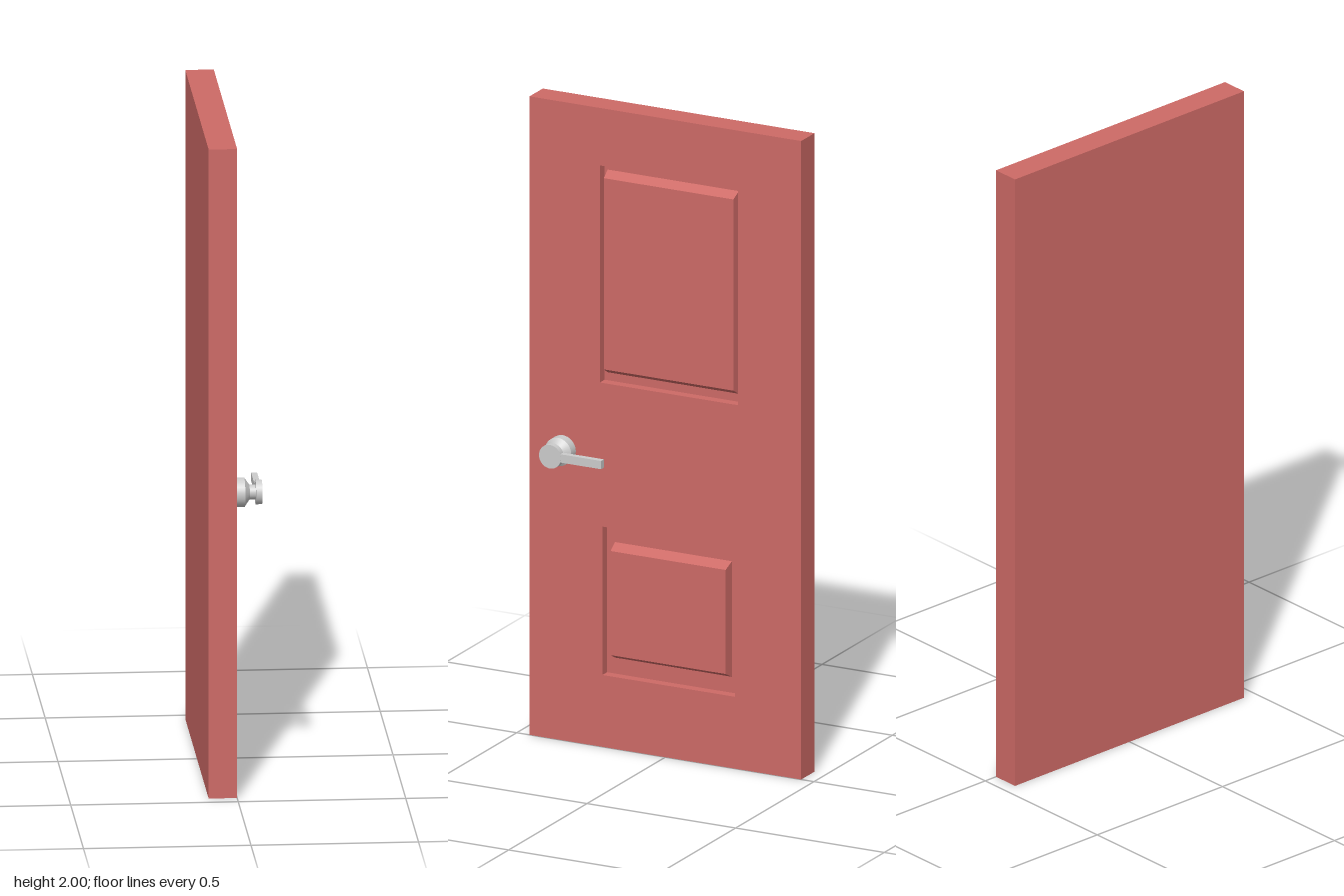
import * as THREE from 'three';

const FRONT = 0, BACK = -0.085, RECESS = 0.03;
const HALF_WIDTH = 0.457, HEIGHT = 2;

// Local u runs towards -z, v is up, and depth runs towards +x.
const panels = [
  { name: 'upperPanel', hole: [-0.22, 0.245, 1.14, 1.82], raised: [-0.21, 0.232, 1.165, 1.8], top: 0 },
  { name: 'lowerPanel', hole: [-0.212, 0.235, 0.225, 0.69], raised: [-0.185, 0.208, 0.275, 0.637], top: 0.004 },
];

function trace(path, [u0, u1, v0, v1]) {
  path.moveTo(u0, v0);
  path.lineTo(u1, v0);
  path.lineTo(u1, v1);
  path.lineTo(u0, v1);
  path.closePath();
  return path;
}

// Raised field whose edges slope in towards its face
function bevelledPanel([u0, u1, v0, v1], depth, insetU, insetV) {
  const geo = new THREE.BoxGeometry(u1 - u0, v1 - v0, depth);
  const pos = geo.attributes.position;
  for (let i = 0; i < pos.count; i++) {
    if (pos.getZ(i) > 0) {
      pos.setX(i, pos.getX(i) - Math.sign(pos.getX(i)) * insetU);
      pos.setY(i, pos.getY(i) - Math.sign(pos.getY(i)) * insetV);
    }
  }
  geo.computeVertexNormals();
  geo.translate((u0 + u1) / 2, (v0 + v1) / 2, depth / 2);
  return geo;
}

export function createModel() {
  const model = new THREE.Group();
  model.name = 'door';
  const paint = new THREE.MeshStandardMaterial({ color: 0xcd6a66 });
  const metal = new THREE.MeshStandardMaterial({ color: 0xcccccc });

  const add = (parent, name, geo, material) => {
    const mesh = new THREE.Mesh(geo, material);
    mesh.name = name;
    parent.add(mesh);
    return mesh;
  };

  // Solid back of the slab, which is also the floor of the recesses
  const backDepth = FRONT - RECESS - BACK;
  const back = new THREE.BoxGeometry(backDepth, HEIGHT, HALF_WIDTH * 2);
  back.translate(BACK + backDepth / 2, HEIGHT / 2, 0);
  add(model, 'doorBack', back, paint);

  // Face layer with two openings
  const face = new THREE.Group();
  face.name = 'doorFace';
  face.rotation.y = Math.PI / 2;
  face.position.x = FRONT - RECESS;
  model.add(face);

  const outline = trace(new THREE.Shape(), [-HALF_WIDTH, HALF_WIDTH, 0, HEIGHT]);
  for (const p of panels) outline.holes.push(trace(new THREE.Path(), p.hole));
  add(face, 'doorFrame', new THREE.ExtrudeGeometry(outline, { depth: RECESS, bevelEnabled: false }), paint);

  for (const p of panels) {
    add(face, p.name, bevelledPanel(p.raised, RECESS + p.top, 0.003, 0.018), paint);
  }

  // Lever handle: stepped round body with a flat lever
  const handle = new THREE.Group();
  handle.name = 'handle';
  handle.position.set(FRONT, 0.912, 0.345);
  model.add(handle);

  const sections = [
    ['rosette', 0.044, 0.044, 0, 0.03],
    ['rosetteTaper', 0.044, 0.022, 0.03, 0.045],
    ['neck', 0.022, 0.022, 0.045, 0.063],
    ['hub', 0.037, 0.037, 0.063, 0.082],
  ];
  for (const [name, r0, r1, x0, x1] of sections) {
    const geo = new THREE.CylinderGeometry(r1, r0, x1 - x0, 32);
    geo.rotateZ(-Math.PI / 2);
    geo.translate((x0 + x1) / 2, 0, 0);
    add(handle, name, geo, metal);
  }

  const lever = new THREE.BoxGeometry(0.018, 0.026, 0.172);
  lever.translate(0.0725, 0, -0.086);
  add(handle, 'lever', lever, metal);

  return model;
}
